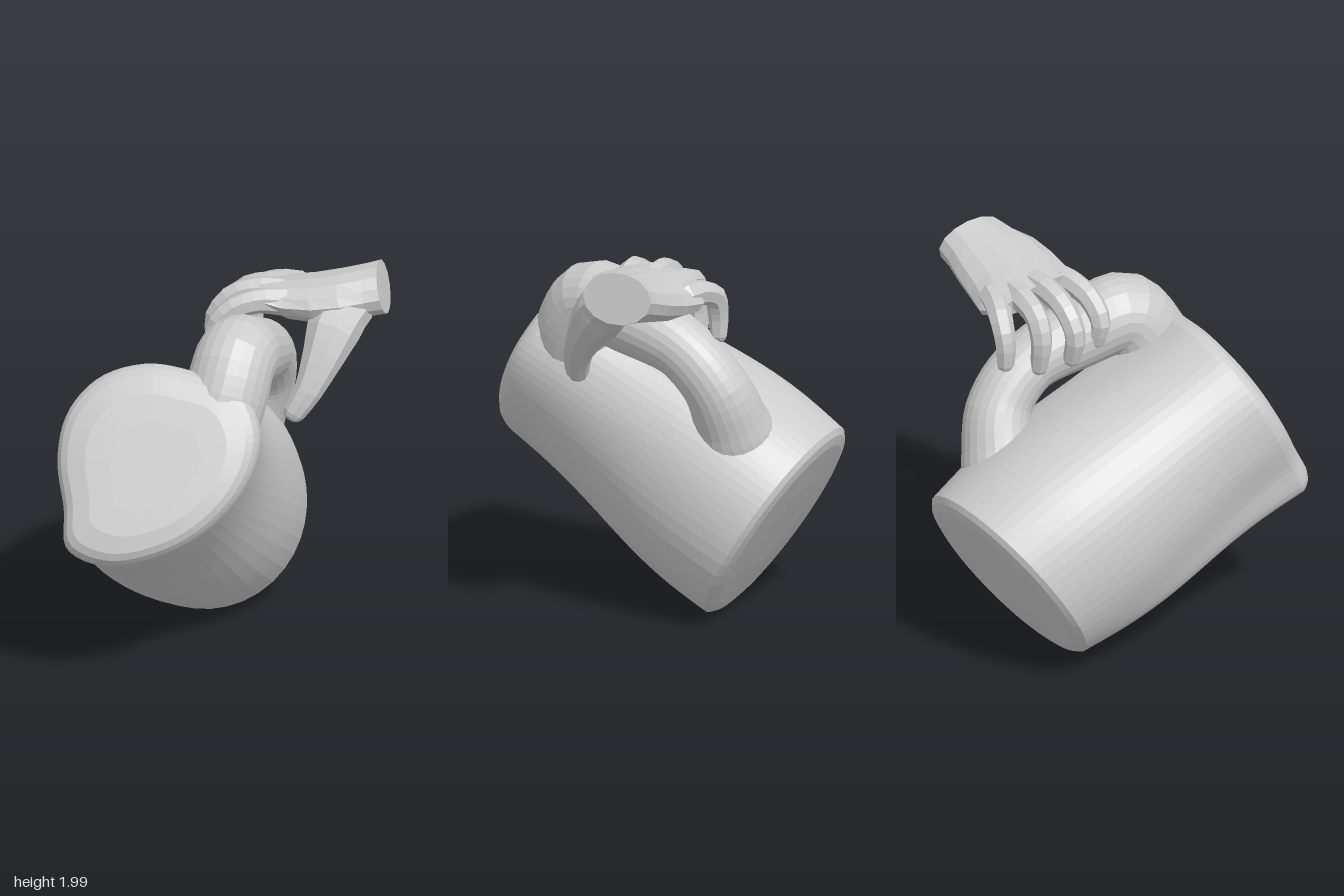
import * as THREE from 'three';

const V = (x, y, z) => new THREE.Vector3(x, y, z);
const material = new THREE.MeshStandardMaterial({ color: 0xcccccc, flatShading: true });

// Skins a list of equal-length rings and closes both ends; faces always point outward.
function loft(name, rings) {
  const n = rings[0].length, pos = [], idx = [];
  rings.forEach(r => r.forEach(p => pos.push(p.x, p.y, p.z)));
  for (let i = 0; i < rings.length - 1; i++) {
    for (let j = 0; j < n; j++) {
      const k = (j + 1) % n, a = i * n + j, b = i * n + k;
      idx.push(a, b, b + n, a, b + n, a + n);
    }
  }
  [0, rings.length - 1].forEach((i, end) => {
    const c = V(0, 0, 0);
    rings[i].forEach(p => c.addScaledVector(p, 1 / n));
    const ci = pos.length / 3;
    pos.push(c.x, c.y, c.z);
    for (let j = 0; j < n; j++) {
      const a = i * n + j, b = i * n + (j + 1) % n;
      end ? idx.push(ci, a, b) : idx.push(ci, b, a);
    }
  });
  // Flip the winding when the enclosed volume is negative
  const at = i => V(pos[3 * i], pos[3 * i + 1], pos[3 * i + 2]);
  let volume = 0;
  for (let i = 0; i < idx.length; i += 3) volume += at(idx[i]).dot(at(idx[i + 1]).cross(at(idx[i + 2])));
  if (volume < 0) idx.reverse();
  const g = new THREE.BufferGeometry();
  g.setAttribute('position', new THREE.Float32BufferAttribute(pos, 3));
  g.setIndex(idx);
  g.computeVertexNormals();
  const mesh = new THREE.Mesh(g, material);
  mesh.name = name;
  return mesh;
}

// Round limb along a curve, its radius running through the given list, with domed ends.
function limb(name, points, radii, sides, steps) {
  const curve = new THREE.CatmullRomCurve3(points.map(p => V(...p)));
  const frames = curve.computeFrenetFrames(steps);
  const radiusAt = t => {
    const f = t * (radii.length - 1), i = Math.min(Math.floor(f), radii.length - 2);
    return THREE.MathUtils.lerp(radii[i], radii[i + 1], f - i);
  };
  const ring = (i, scale, push) => {
    const r = radiusAt(i / steps);
    const c = curve.getPointAt(i / steps).addScaledVector(frames.tangents[i], push * r);
    return Array.from({ length: sides }, (_, j) => {
      const a = j / sides * Math.PI * 2;
      return c.clone().addScaledVector(frames.normals[i], Math.cos(a) * r * scale)
        .addScaledVector(frames.binormals[i], Math.sin(a) * r * scale);
    });
  };
  const rings = [ring(0, 0.45, -0.65), ring(0, 0.8, -0.4)];
  for (let i = 0; i <= steps; i++) rings.push(ring(i, 1, 0));
  rings.push(ring(steps, 0.8, 0.4), ring(steps, 0.45, 0.65));
  return loft(name, rings);
}

// Tilted jug: a full round base narrowing, then flaring to a pear-shaped, lipped mouth
function jugBody() {
  const baseAxis = V(-0.07, 0.52, 0.85).normalize(), mouthAxis = V(-0.16, 0.46, 0.87).normalize();
  const base = V(-0.1, 0.5, -0.6), mouth = V(-0.35, 1.17, 0.7);
  const onPlane = (c, n, dx, dy) => V(c.x + dx, c.y + dy, c.z - (n.x * dx + n.y * dy) / n.z);
  const rim = new THREE.CatmullRomCurve3([
    [0.17, 1.38], [0.08, 1.57], [-0.15, 1.635], [-0.4, 1.66], [-0.65, 1.58], [-0.81, 1.41], [-0.86, 1.2],
    [-0.83, 0.98], [-0.82, 0.8], [-0.62, 0.73], [-0.3, 0.81], [-0.05, 0.97], [0.12, 1.18],
  ].map(([x, y]) => V(x, y, 0)), true);
  const sides = 64, rows = 24;
  const ring = (t, scale, push) => Array.from({ length: sides }, (_, j) => {
    const p = rim.getPoint(j / sides), dx = p.x - mouth.x, dy = p.y - mouth.y;
    const a = Math.atan2(dy / 0.89, dx);
    const low = onPlane(base, baseAxis, Math.cos(a) * 0.54 * scale, Math.sin(a) * 0.495 * scale);
    const high = onPlane(mouth, mouthAxis, dx * scale, dy * scale);
    return low.lerp(high, t).addScaledVector(mouthAxis, push);
  });
  const bulge = t => 1 + 0.035 * Math.sin(t * Math.PI * 2) + 0.03 * Math.sin(t * Math.PI);
  const rings = [ring(0, 0.45, -0.05), ring(0, 0.86, -0.04), ring(0, 0.95, -0.025)];
  for (let i = 0; i <= rows; i++) rings.push(ring(i / rows * 0.97, bulge(i / rows), 0));
  // Rounded mouth edge and its gently domed face
  [[0.985, 0.025], [0.95, 0.055], [0.88, 0.08], [0.7, 0.1], [0.45, 0.105], [0.2, 0.105]]
    .forEach(([s, h]) => rings.push(ring(0.97, s, h)));
  return loft('jugBody', rings);
}

// Palm and wrist: oval sections from the cut wrist to the knuckles
function palm() {
  const sides = 14;
  const sections = [ // x, y, z, half height, half width, roll
    [0.82, 1.87, -0.06, 0.13, 0.19, 0], [0.74, 1.853, -0.06, 0.127, 0.2, 0.03],
    [0.62, 1.83, -0.06, 0.125, 0.235, 0.08], [0.48, 1.805, -0.08, 0.122, 0.25, 0.12],
    [0.34, 1.795, -0.12, 0.105, 0.26, 0.15], [0.22, 1.82, -0.12, 0.065, 0.235, 0.18],
  ];
  return loft('palm', sections.map(([x, y, z, h, w, roll]) => Array.from({ length: sides }, (_, j) => {
    const a = j / sides * Math.PI * 2, dz = Math.cos(a) * w, dy = Math.sin(a) * h + dz * roll;
    return V(x - 0.23 * dy - 0.13 * dz, y + dy, z + dz);
  })));
}

export function createModel() {
  const model = new THREE.Group();

  // The handle rises flush with the mouth, arches back and sinks into the body near the base
  const jug = new THREE.Group();
  jug.name = 'jug';
  jug.add(jugBody());
  jug.add(limb('jugHandle', [
    [-0.05, 1.3, 0.46], [0.01, 1.48, 0.41], [0.06, 1.625, 0.31], [0.14, 1.56, 0.06],
    [0.21, 1.45, -0.22], [0.215, 1.27, -0.39], [0.15, 1.07, -0.45], [0.05, 0.88, -0.46],
  ], [0.22, 0.215, 0.205, 0.18, 0.16, 0.165, 0.19, 0.26], 24, 36));

  const hand = new THREE.Group();
  hand.name = 'hand';
  hand.add(palm());
  hand.add(limb('thumb', [
    [0.66, 1.81, 0.02], [0.58, 1.735, 0.09], [0.505, 1.59, 0.2], [0.43, 1.44, 0.28], [0.355, 1.325, 0.305],
  ], [0.125, 0.145, 0.11, 0.078, 0.058], 9, 10));
  // Fingers draped over the handle, each from knuckle to tip
  const fingers = {
    indexFinger: [[0.32, 1.835, 0.05], [0.18, 1.845, 0.06], [0.04, 1.8, 0.07], [-0.04, 1.7, 0.07], [-0.02, 1.58, 0.06]],
    middleFinger: [[0.32, 1.835, -0.08], [0.2, 1.85, -0.09], [0.05, 1.81, -0.1], [-0.04, 1.68, -0.1], [-0.01, 1.53, -0.1]],
    ringFinger: [[0.34, 1.81, -0.19], [0.22, 1.82, -0.22], [0.1, 1.78, -0.24], [0.05, 1.67, -0.25], [0.07, 1.5, -0.25]],
    littleFinger: [[0.4, 1.79, -0.28], [0.3, 1.79, -0.33], [0.21, 1.75, -0.38], [0.17, 1.65, -0.39], [0.17, 1.53, -0.39]],
  };
  for (const [name, points] of Object.entries(fingers)) {
    hand.add(limb(name, points, [0.075, 0.066, 0.06, 0.055, 0.046], 7, 10));
  }

  model.add(jug, hand);
  return model;
}
